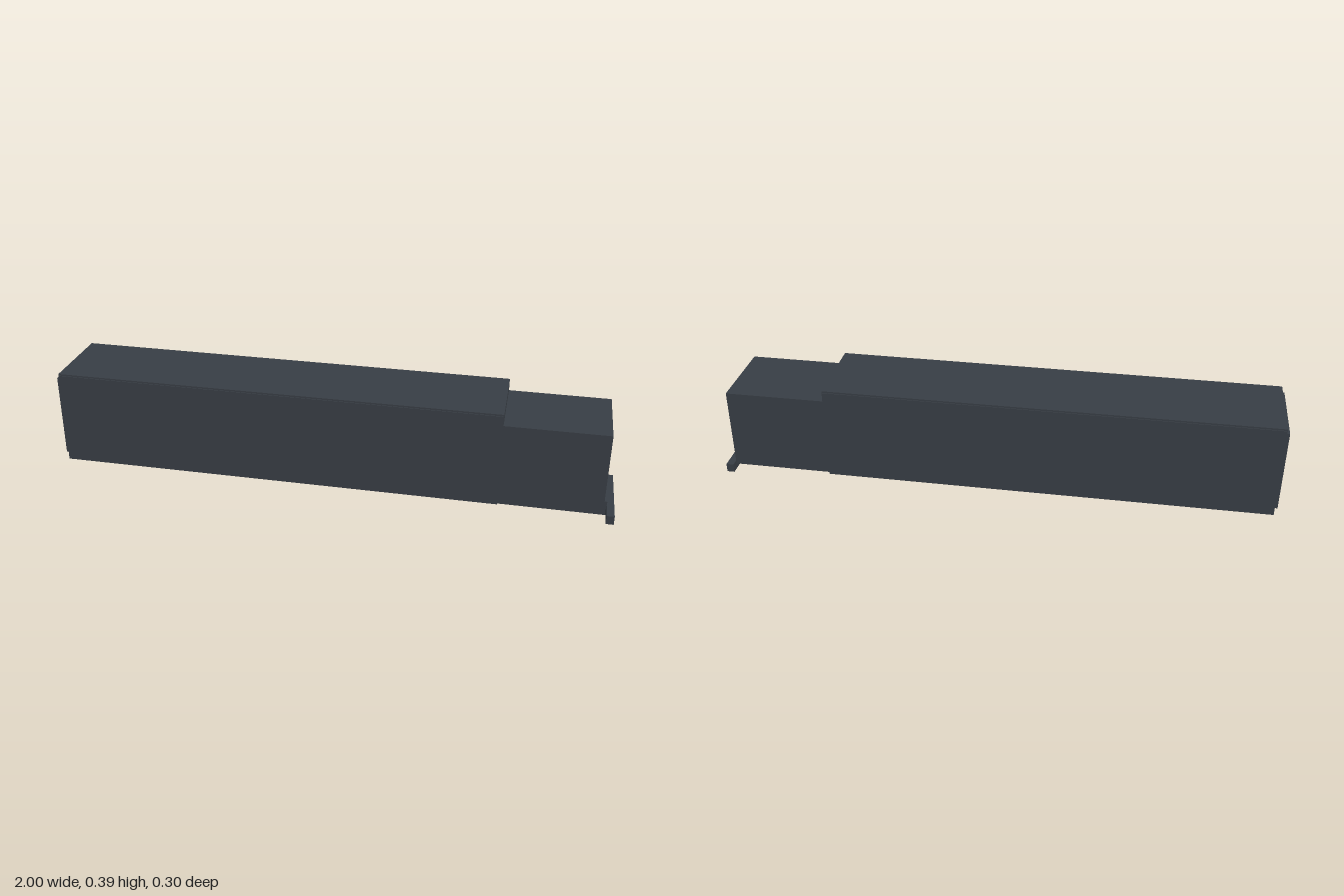
import * as THREE from 'three';

const steel = new THREE.MeshStandardMaterial({ color: 0x383e45 });
steel.name = 'darkSteel';

// Box given by its low and high limits on each axis
function block(name, [x0, x1], [y0, y1], [z0, z1]) {
  const mesh = new THREE.Mesh(new THREE.BoxGeometry(x1 - x0, y1 - y0, z1 - z0), steel);
  mesh.position.set((x0 + x1) / 2, (y0 + y1) / 2, (z0 + z1) / 2);
  mesh.name = name;
  return mesh;
}

export function createModel() {
  const model = new THREE.Group();
  model.name = 'containerBody';

  // Long cargo body and the lower, narrower end section
  model.add(block('cargoBody', [-0.99, 0.602], [0.04, 0.387], [-0.147, 0.147]));
  model.add(block('endSection', [0.6, 0.96], [0.046, 0.344], [-0.144, 0.144]));

  // Chassis beam underneath with its cross bumper
  model.add(block('chassisBeam', [0.248, 0.975], [0, 0.054], [-0.074, 0.074]));
  model.add(block('bumper', [0.973, 1], [0.008, 0.04], [-0.146, 0.146]));

  // Thin side skins and the pair of end doors
  for (const s of [-1, 1]) {
    const side = s > 0 ? 'left' : 'right';
    const span = (a, b) => (s > 0 ? [a, b] : [-b, -a]);
    model.add(block(side + 'SidePanel', [-0.988, 0.6], [0.055, 0.381], span(0.145, 0.15)));
    model.add(block(side + 'Door', [-1, -0.988], [0.065, 0.367], span(0.003, 0.141)));
  }
  return model;
}
